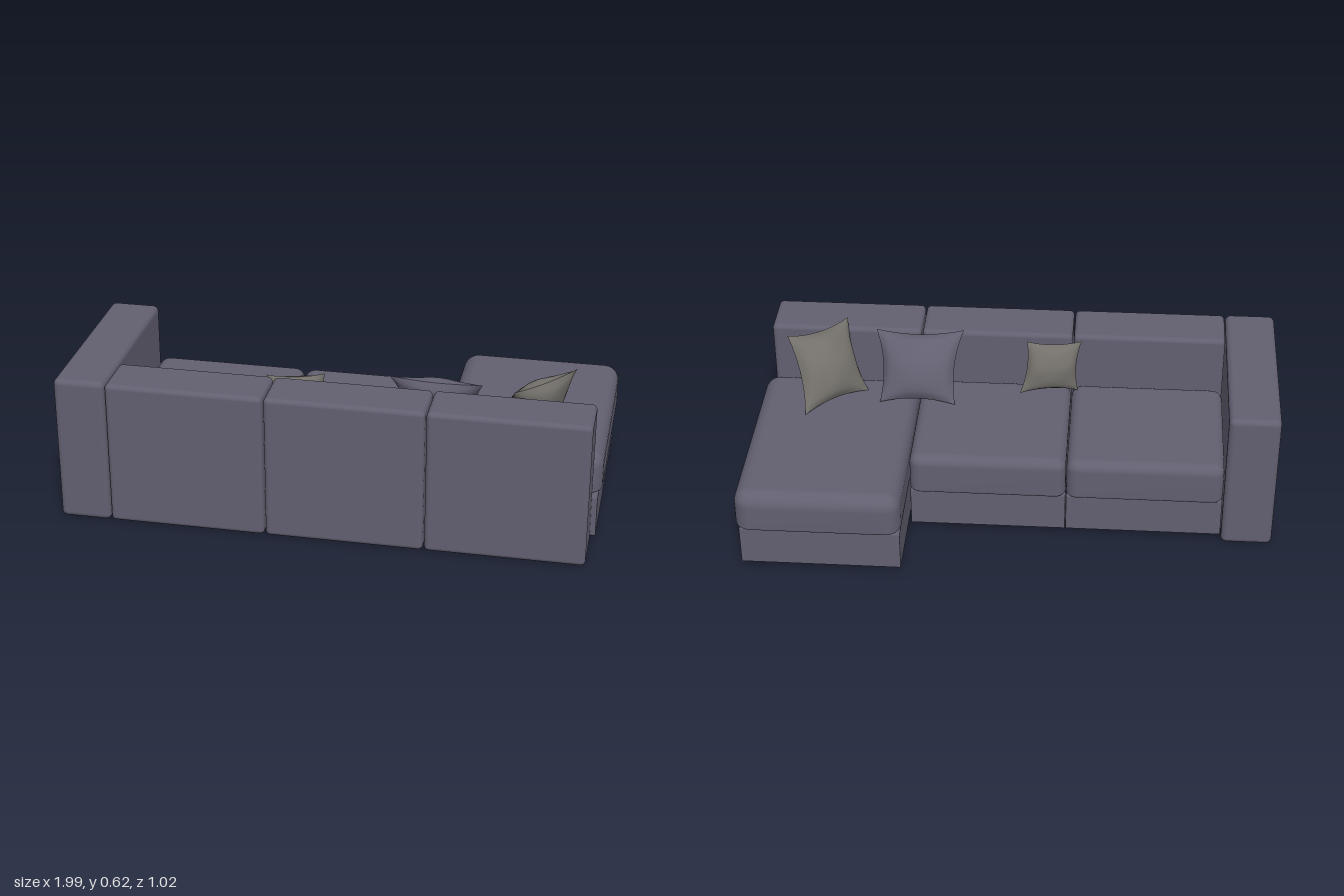
import * as THREE from 'three';
import { RoundedBoxGeometry } from 'three/addons/geometries/RoundedBoxGeometry.js';
import { mergeVertices } from 'three/addons/utils/BufferGeometryUtils.js';

const fabric = new THREE.MeshStandardMaterial({ color: 0x625f70 });
fabric.name = 'slate fabric';
const grey = new THREE.MeshStandardMaterial({ color: 0x73706b });
grey.name = 'warm grey fabric';

// Rounded block given by its min and max on each axis
function block(name, [x0, x1], [y0, y1], [z0, z1], radius) {
  const geo = new RoundedBoxGeometry(x1 - x0, y1 - y0, z1 - z0, 4, radius);
  const mesh = new THREE.Mesh(geo, fabric);
  mesh.position.set((x0 + x1) / 2, (y0 + y1) / 2, (z0 + z1) / 2);
  mesh.name = name;
  return mesh;
}

// Seat cushion: generous rounding on top, tighter rounding underneath
function cushion(name, xs, ys, zs, radius) {
  const mesh = block(name, xs, ys, zs, radius);
  const half = (ys[1] - ys[0]) / 2, flat = half - radius, tight = 0.022;
  let geo = mesh.geometry;
  geo.deleteAttribute('normal');
  geo.deleteAttribute('uv');
  geo = mergeVertices(geo, 1e-5);
  const p = geo.attributes.position;
  for (let i = 0; i < p.count; i++) {
    const y = p.getY(i);
    if (y < -flat + 1e-6) {
      const t = (-y - flat) / radius;
      p.setY(i, -(half - tight) - t * tight);
    }
  }
  geo.computeVertexNormals();
  mesh.geometry = geo;
  return mesh;
}

// Throw pillow: two bulged sheets meeting at a pinched seam between four corners
function pillow(name, corners, thickness, material) {
  const [bl, br, tl, tr] = corners.map(c => new THREE.Vector3(...c));
  const across = br.clone().add(tr).sub(bl).sub(tl);
  const up = tl.clone().add(tr).sub(bl).sub(br);
  const normal = across.cross(up).normalize();
  const N = 20, group = new THREE.Group();
  group.name = name;
  for (const side of [1, -1]) {
    const pos = [], index = [];
    for (let j = 0; j <= N; j++) {
      for (let i = 0; i <= N; i++) {
        const u = i / N * 2 - 1, v = j / N * 2 - 1;
        // edges curve inwards between the pointed corners
        const s = (1 + u * (1 - 0.13 * (1 - v * v))) / 2;
        const t = (1 + v * (1 - 0.13 * (1 - u * u))) / 2;
        const low = bl.clone().lerp(br, s), high = tl.clone().lerp(tr, s);
        const puff = Math.pow((1 - u * u) * (1 - v * v), 0.6);
        const fold = 1 + 0.12 * Math.cos(4 * Math.atan2(v, u)) * Math.min(1, u * u + v * v);
        low.lerp(high, t).addScaledVector(normal, side * thickness * puff * fold);
        pos.push(low.x, low.y, low.z);
      }
    }
    for (let j = 0; j < N; j++) {
      for (let i = 0; i < N; i++) {
        const a = j * (N + 1) + i, b = a + 1, c = a + N + 1, d = c + 1;
        if (side > 0) index.push(a, b, d, a, d, c);
        else index.push(a, d, b, a, c, d);
      }
    }
    const geo = new THREE.BufferGeometry();
    geo.setAttribute('position', new THREE.Float32BufferAttribute(pos, 3));
    geo.setIndex(index);
    geo.computeVertexNormals();
    const sheet = new THREE.Mesh(geo, material);
    sheet.name = side > 0 ? 'pillowFace' : 'pillowReverse';
    group.add(sheet);
  }
  return group;
}

export function createModel() {
  const sofa = new THREE.Group();
  sofa.name = 'sectionalSofa';

  // Arm at one end
  sofa.add(block('armRest', [-0.992, -0.801], [0, 0.565], [-0.23, 0.51], 0.022));

  // Three backrests, with two ordinary seats in front of them
  for (let i = 0; i < 3; i++) {
    const x0 = -0.798 + i * 0.589, x1 = x0 + 0.584;
    sofa.add(block('backRest', [x0, x1], [0.003, 0.561], [0.312, 0.511], 0.018));
    if (i < 2) {
      sofa.add(block('seatBase', [x0, x1 + 0.003], [0.025, 0.18], [-0.21, 0.316], 0.004));
      sofa.add(cushion('seatCushion', [x0, x1 + 0.003], [0.18, 0.349], [-0.236, 0.31], 0.04));
    }
  }

  // Chaise
  sofa.add(block('chaiseBase', [0.388, 0.984], [0.025, 0.18], [-0.486, 0.318], 0.004));
  sofa.add(cushion('chaiseCushion', [0.384, 0.996], [0.18, 0.35], [-0.512, 0.31], 0.058));

  // Throw pillows: corners as bottom pair, then top pair
  sofa.add(pillow('chaisePillow',
    [[0.80, 0.35, 0.015], [0.58, 0.35, 0.20], [0.875, 0.615, 0.155], [0.67, 0.59, 0.345]], 0.062, grey));
  sofa.add(pillow('middlePillow',
    [[0.525, 0.355, 0.115], [0.235, 0.35, 0.12], [0.55, 0.58, 0.285], [0.21, 0.587, 0.285]], 0.062, fabric));
  sofa.add(pillow('smallPillow',
    [[-0.012, 0.362, 0.20], [-0.235, 0.35, 0.255], [-0.035, 0.562, 0.26], [-0.245, 0.552, 0.29]], 0.045, grey));

  return sofa;
}
